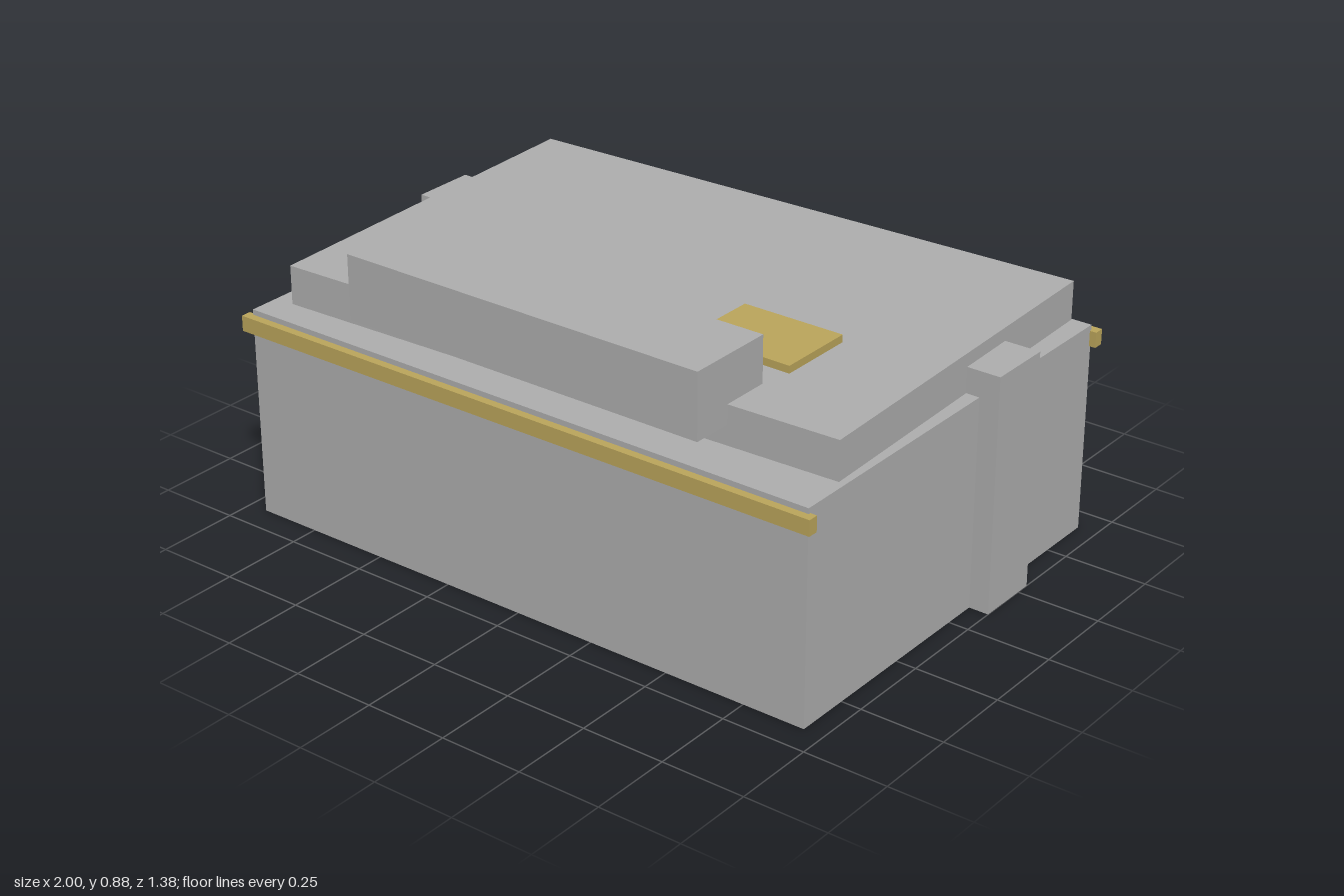
import * as THREE from 'three';

const grey = new THREE.MeshStandardMaterial({ color: 0xb0b0b0 });
grey.name = 'stone grey';
const gold = new THREE.MeshStandardMaterial({ color: 0xbda75c });
gold.name = 'brass';

// Box given by its extents along x, y and z
function block(name, material, [x0, x1], [y0, y1], [z0, z1]) {
  const mesh = new THREE.Mesh(new THREE.BoxGeometry(x1 - x0, y1 - y0, z1 - z0), material);
  mesh.position.set((x0 + x1) / 2, (y0 + y1) / 2, (z0 + z1) / 2);
  mesh.name = name;
  return mesh;
}

export function createModel() {
  const model = new THREE.Group();
  model.name = 'chest';

  // Main body
  model.add(block('body', grey, [-0.94, 0.94], [0, 0.63], [-0.665, 0.665]));

  // Lid, set slightly askew on the body
  const lid = block('lid', grey, [-0.9, 0.9], [0.63, 0.746], [-0.629, 0.541]);
  lid.rotation.y = 0.035;
  model.add(lid);

  // Loose bar resting over the front edge of the lid
  model.add(block('topBar', grey, [-0.588, 0.585], [0.69, 0.884], [0.372, 0.645]));

  // Small plate hovering over the lid
  model.add(block('plate', gold, [0.31, 0.625], [0.763, 0.785], [0.076, 0.312]));

  // Trim strips on front and back
  model.add(block('frontTrim', gold, [-0.96, 0.96], [0.568, 0.614], [0.658, 0.689]));
  model.add(block('backTrim', gold, [-0.96, 0.96], [0.568, 0.614], [-0.689, -0.658]));

  // Upright ribs on both sides
  model.add(block('leftRib', grey, [0.88, 1], [0, 0.706], [-0.294, -0.099]));
  model.add(block('rightRib', grey, [-1, -0.88], [0, 0.706], [-0.294, -0.099]));

  return model;
}
